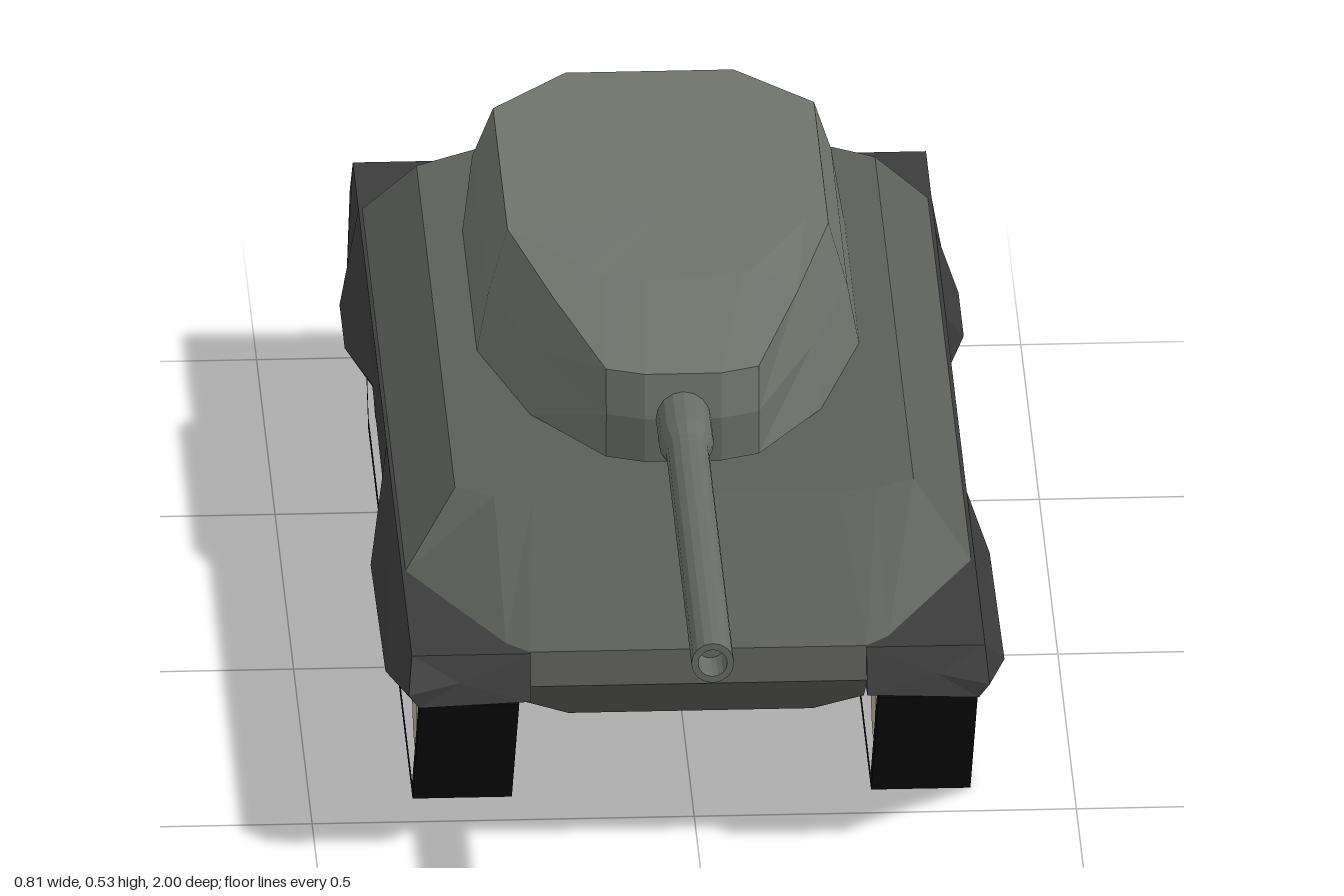
import * as THREE from 'three';

const mat = (color) => new THREE.MeshStandardMaterial({ color, flatShading: true });

// Skin a list of closed rings (counter-clockwise seen from the last ring's end) and cap both ends.
function loft(rings) {
  const pos = [];
  const tri = (...pts) => pts.forEach((p) => pos.push(...p));
  const n = rings[0].length;
  for (let r = 0; r < rings.length - 1; r++) {
    const a = rings[r], b = rings[r + 1];
    for (let i = 0; i < n; i++) {
      const j = (i + 1) % n;
      tri(a[i], a[j], b[j]);
      tri(a[i], b[j], b[i]);
    }
  }
  const centre = (ring) => [0, 1, 2].map((k) => ring.reduce((s, p) => s + p[k], 0) / n);
  const first = rings[0], last = rings[rings.length - 1];
  const c0 = centre(first), c1 = centre(last);
  for (let i = 0; i < n; i++) {
    const j = (i + 1) % n;
    tri(c0, first[j], first[i]);
    tri(c1, last[i], last[j]);
  }
  const g = new THREE.BufferGeometry();
  g.setAttribute('position', new THREE.Float32BufferAttribute(pos, 3));
  g.computeVertexNormals();
  return g;
}

// Half ring on +x, from front to rear, completed on -x.
const mirrorRing = (half) => [...half, ...half.map(([x, y, z]) => [-x, y, z]).reverse()];

export function createModel() {
  const model = new THREE.Group();
  const hullMat = mat(0x5c5e5a);
  const fenderMat = mat(0x3c3c3c);
  const turretMat = mat(0x70736c);
  const gunMat = mat(0x686b66);
  const trackMat = mat(0x0b0b0b);
  const wheelMat = mat(0xb8b09a);

  const add = (name, geometry, material, parent = model) => {
    const mesh = new THREE.Mesh(geometry, material);
    mesh.name = name;
    parent.add(mesh);
    return mesh;
  };

  // Lower hull: tub with sloped nose and tail
  const tub = [
    [0.107, 0.16, 0.4, -0.72],
    [0.177, 0.221, 0.52, -0.87],
    [0.243, 0.221, 0.62, -0.985],
    [0.288, 0.221, 0.61, -0.98],
  ].map(([y, x, front, rear]) => mirrorRing([[x, y, front], [x, y, rear]]));
  add('lowerHull', loft(tub), hullMat);

  // Upper hull: long glacis and chamfered deck
  add('upperHull', loft([
    mirrorRing([[0.22, 0.288, 0.61], [0.25, 0.288, 0.58], [0.37, 0.288, 0.34], [0.37, 0.288, -0.83], [0.21, 0.288, -0.98]]),
    mirrorRing([[0.2, 0.357, 0.265], [0.25, 0.357, 0.26], [0.3, 0.357, 0.23], [0.3, 0.357, -0.81], [0.18, 0.357, -0.885]]),
  ]), hullMat);

  // Turret: faceted shell, widest at its foot, drawn in towards the gun
  add('turret', loft([
    mirrorRing([[0.05, 0.375, 0.2], [0.1, 0.375, 0.18], [0.19, 0.357, 0], [0.25, 0.357, -0.21], [0.25, 0.357, -0.6], [0.11, 0.357, -0.72]]),
    mirrorRing([[0.05, 0.44, 0.21], [0.1, 0.44, 0.19], [0.18, 0.44, -0.02], [0.235, 0.44, -0.21], [0.235, 0.44, -0.65], [0.11, 0.44, -0.82]]),
    mirrorRing([[0.05, 0.5, 0.2], [0.1, 0.5, 0.18], [0.16, 0.516, -0.02], [0.21, 0.53, -0.21], [0.21, 0.53, -0.6], [0.11, 0.53, -0.71]]),
    mirrorRing([[0.04, 0.527, -0.05], [0.09, 0.527, -0.06], [0.11, 0.528, -0.08], [0.18, 0.53, -0.22], [0.18, 0.53, -0.57], [0.1, 0.53, -0.66]]),
  ]), turretMat);

  // Gun: sleeve, barrel and hollow muzzle in one turned profile
  const gunProfile = [[0, 0.15], [0.036, 0.15], [0.036, 0.29], [0.028, 0.32], [0.028, 1], [0.019, 1], [0.019, 0.94], [0, 0.94]]
    .map(([r, z]) => new THREE.Vector2(r, z));
  const gun = add('gun', new THREE.LatheGeometry(gunProfile, 16), gunMat);
  gun.rotation.x = Math.PI / 2;
  gun.position.y = 0.44;

  // Fender stations: z of top edge, z of lower edges, flare x, flare y
  const stations = [
    [-0.98, -1, 0.378, 0.24],
    [-0.83, -0.83, 0.39, 0.205],
    [-0.72, -0.72, 0.405, 0.2],
    [-0.58, -0.58, 0.405, 0.2],
    [-0.44, -0.44, 0.376, 0.21],
    [-0.07, -0.07, 0.376, 0.195],
    [0.12, 0.12, 0.405, 0.2],
    [0.52, 0.52, 0.405, 0.225],
    [0.615, 0.635, 0.38, 0.24],
  ];
  const fenderRings = stations.map(([zTop, z, x, y]) => [
    [0.22, y - 0.012, z], [0.366, y - 0.018, z], [x, y, z], [0.375, 0.288, zTop], [0.22, 0.288, zTop],
  ]);

  // Track loop outlines in (z, y)
  const path = (pts) => pts.map(([z, y]) => new THREE.Vector2(z, y));
  const trackShape = new THREE.Shape(path([[0.62, 0.25], [0.625, 0.22], [0.425, 0], [-0.77, 0], [-0.96, 0.21], [-0.955, 0.25]]));
  trackShape.holes.push(new THREE.Path(path([[0.6, 0.235], [0.603, 0.225], [0.415, 0.02], [-0.76, 0.02], [-0.94, 0.215], [-0.938, 0.235]])));
  const trackGeo = new THREE.ExtrudeGeometry(trackShape, { depth: 0.13, bevelEnabled: false });
  trackGeo.rotateY(-Math.PI / 2); // shape x -> z, depth -> -x

  // Road wheel: twin discs on a hub, unit radius
  const wheelProfile = [[0, -0.058], [0.9, -0.058], [1, -0.05], [1, -0.015], [0.6, -0.012], [0.6, 0.012], [1, 0.015], [1, 0.05], [0.9, 0.058], [0, 0.058]]
    .map(([r, x]) => new THREE.Vector2(r, x));
  const wheelGeo = new THREE.LatheGeometry(wheelProfile, 12);
  wheelGeo.rotateZ(-Math.PI / 2);

  const wheels = [0.33, 0.155, -0.016, -0.185, -0.365, -0.545, -0.73].map((z) => ['roadWheel', z, 0.098, 0.071]);
  wheels.push(['frontIdler', 0.524, 0.186, 0.045], ['rearSprocket', -0.862, 0.186, 0.048]);

  // Running gear and fenders, one set per side
  for (const [side, s] of [['left', 1], ['right', -1]]) {
    const group = new THREE.Group();
    group.name = `${side}RunningGear`;
    model.add(group);
    const rings = s > 0 ? fenderRings
      : fenderRings.map((ring) => ring.map(([x, y, z]) => [-x, y, z]).reverse());
    add('fender', loft(rings), fenderMat, group);
    add('track', trackGeo, trackMat, group).position.x = s * 0.3 + 0.065;
    for (const [name, z, y, r] of wheels) {
      const wheel = add(name, wheelGeo, wheelMat, group);
      wheel.position.set(s * 0.3, y, z);
      wheel.scale.set(1, r, r);
    }
  }
  return model;
}
